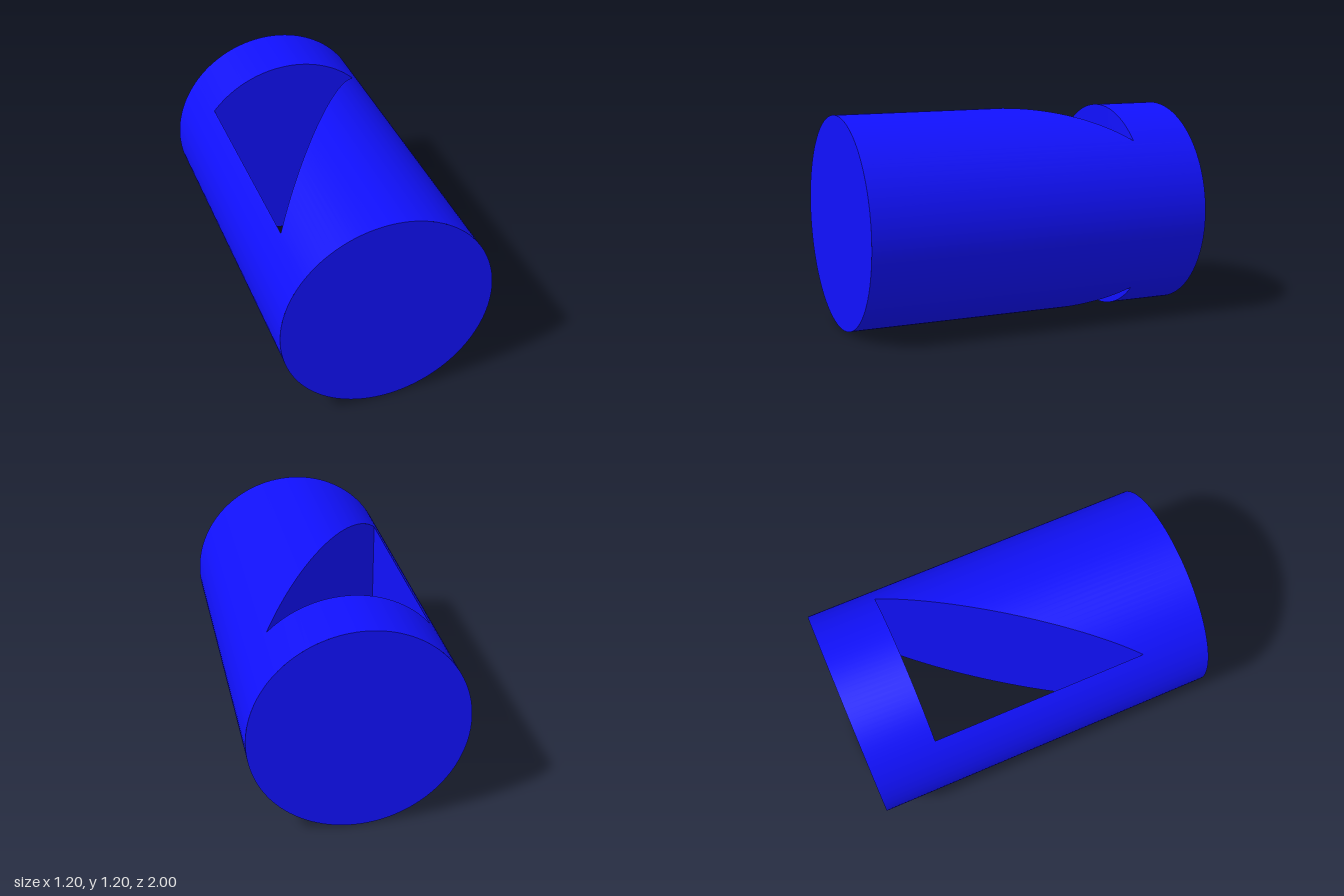
import * as THREE from 'three';

const R = 0.6, HALF = 1;
// Corners of the triangular through-hole in plan, [x, z]
const BACK = -0.62, FRONT = 0.62, X0 = -0.46, X1 = 0.42;
const HOLE = [[X0, BACK], [X1, BACK], [X0, FRONT]];

const lerp = THREE.MathUtils.lerp;
const slopeZ = (x) => lerp(FRONT, BACK, (x - X0) / (X1 - X0));

export function createModel() {
  const model = new THREE.Group();
  const material = new THREE.MeshStandardMaterial({ color: 0x1111ff });

  const add = (name, geometry) => {
    const mesh = new THREE.Mesh(geometry, material);
    mesh.name = name;
    model.add(mesh);
    return mesh;
  };

  // Bends a plane strip by a rule (u, v) -> [x, y, z]
  const strip = (n, rule) => {
    const g = new THREE.PlaneGeometry(1, 1, n, 1);
    const { position, uv } = g.attributes;
    for (let i = 0; i < position.count; i++) {
      position.setXYZ(i, ...rule(uv.getX(i), uv.getY(i)));
    }
    g.computeVertexNormals();
    return g;
  };

  // Piece of the round skin between two angles and two z limits
  const skin = (name, a0, a1, zMin, zMax) => {
    const n = Math.ceil((a1 - a0) / (Math.PI / 64));
    const g = strip(n, (u, v) => {
      const a = lerp(a0, a1, u), x = R * Math.cos(a);
      return [x, R + R * Math.sin(a), lerp(zMin(x), zMax(x), v)];
    });
    const { position, normal } = g.attributes;
    for (let i = 0; i < position.count; i++) {
      normal.setXYZ(i, position.getX(i) / R, (position.getY(i) - R) / R, 0);
    }
    add(name, g);
  };

  const back = () => -HALF, front = () => HALF, holeBack = () => BACK;
  const aL = Math.acos(X1 / R), aR = Math.acos(X0 / R), turn = 2 * Math.PI;

  // Uncut sides
  skin('leftSide', -aL, aL, back, front);
  skin('rightSide', aR, turn - aR, back, front);

  // Top and bottom, broken by the hole
  for (const [name, a0, a1] of [['top', aL, aR], ['bottom', turn - aR, turn - aL]]) {
    skin(name + 'BehindHole', a0, a1, back, holeBack);
    skin(name + 'AheadOfHole', a0, a1, slopeZ, front);
  }

  // Upright walls of the hole
  ['backWall', 'slantedWall', 'sideWall'].forEach((name, i) => {
    const [ax, az] = HOLE[i], [bx, bz] = HOLE[(i + 1) % 3];
    add(name, strip(48, (u, v) => {
      const x = lerp(ax, bx, u), h = Math.sqrt(R * R - x * x);
      return [x, lerp(R - h, R + h, v), lerp(az, bz, u)];
    }));
  });

  // Flat round ends
  for (const side of [1, -1]) {
    const end = add(side > 0 ? 'frontEnd' : 'backEnd', new THREE.CircleGeometry(R, 128));
    end.position.set(0, R, side * HALF);
    if (side < 0) end.rotation.y = Math.PI;
  }

  return model;
}
